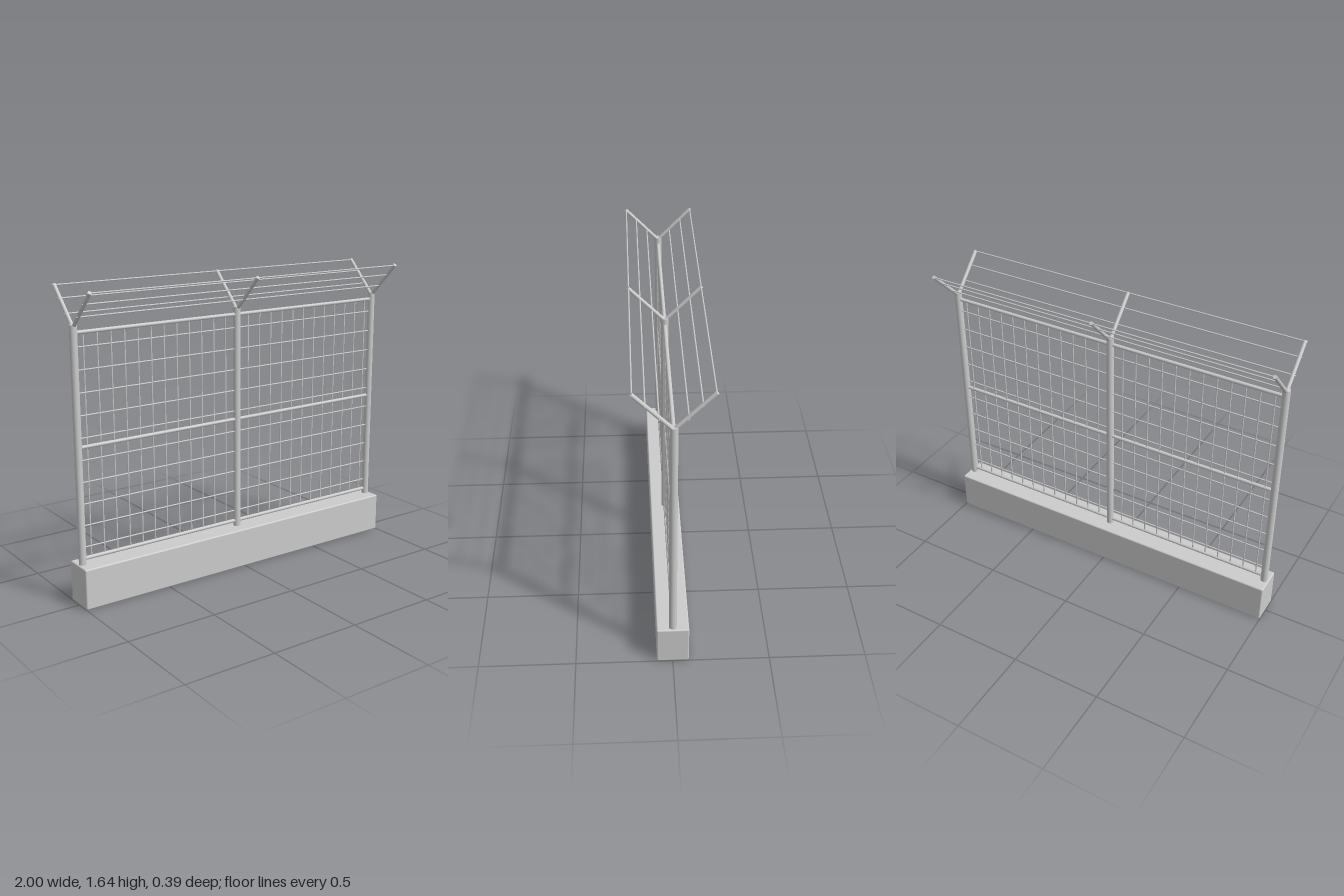
import * as THREE from 'three';
import { RoundedBoxGeometry } from 'three/addons/geometries/RoundedBoxGeometry.js';

const UP = new THREE.Vector3(0, 1, 0);

export function createModel() {
  const fence = new THREE.Group();
  fence.name = 'securityFence';

  const grey = new THREE.MeshStandardMaterial({ color: 0xcccccc });
  grey.name = 'galvanised grey';

  // Round bar between two points
  function bar(name, a, b, radius, sides = 8) {
    const start = new THREE.Vector3(...a);
    const dir = new THREE.Vector3(...b).sub(start);
    const length = dir.length();
    const mesh = new THREE.Mesh(new THREE.CylinderGeometry(radius, radius, length, sides), grey);
    mesh.name = name;
    mesh.position.copy(start).addScaledVector(dir, 0.5);
    mesh.quaternion.setFromUnitVectors(UP, dir.normalize());
    fence.add(mesh);
  }

  // Footing wall
  const footing = new THREE.Mesh(new RoundedBoxGeometry(2, 0.22, 0.166, 2, 0.008), grey);
  footing.name = 'footing';
  footing.position.y = 0.11;
  fence.add(footing);

  // Posts, each carrying a V of two arms
  const postX = 0.972;
  for (const x of [-postX, 0, postX]) {
    bar('post', [x, 0.2, 0], [x, 1.46, 0], 0.02, 20);
    for (const side of [-1, 1]) {
      bar('arm', [x, 1.445, 0], [x, 1.635, side * 0.187], 0.01, 12);
    }
  }

  // Two mesh panels with rails
  for (const side of [-1, 1]) {
    const inner = 0, outer = side * postX;
    for (const y of [0.25, 0.84, 1.42]) {
      bar('rail', [inner, y, 0], [outer, y, 0], 0.01, 12);
    }
    for (let i = 0; i < 12; i++) {
      const x = side * (0.075 + i * 0.0768);
      bar('verticalWire', [x, 0.25, 0], [x, 1.42, 0], 0.004);
    }
    for (let i = 0; i < 10; i++) {
      const y = 0.31 + i * 0.1153;
      bar('horizontalWire', [inner, y, 0], [outer, y, 0], 0.004);
    }
  }

  // Strands along the arms, front and back
  for (const side of [-1, 1]) {
    for (const [y, z] of [[1.505, 0.066], [1.573, 0.127], [1.632, 0.184]]) {
      bar('topStrand', [-0.985, y, side * z], [0.985, y, side * z], 0.004);
    }
  }

  return fence;
}
